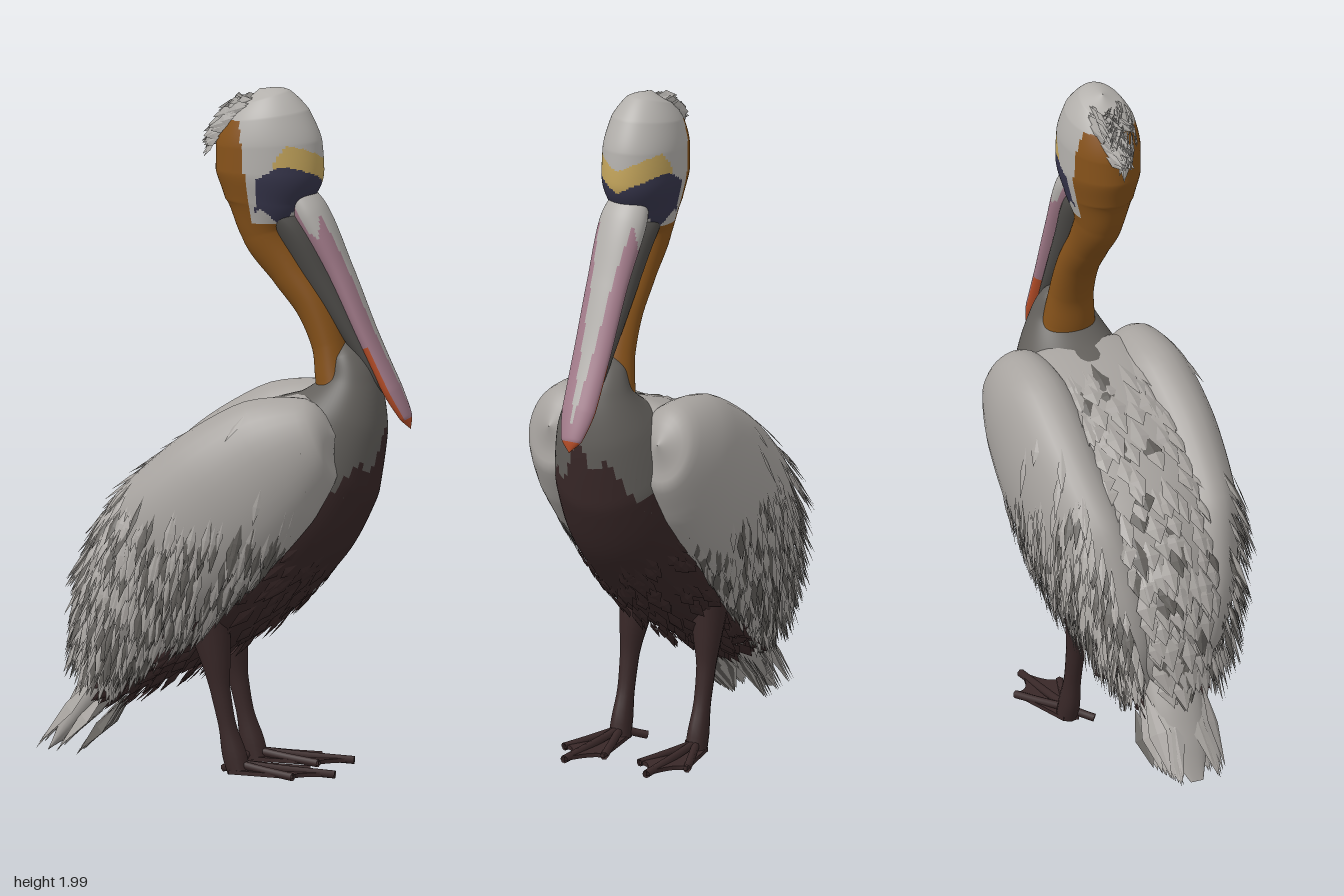
import * as THREE from 'three';

const mat = (name, color) => {
  const m = new THREE.MeshStandardMaterial({ color, side: THREE.DoubleSide });
  m.name = name;
  return m;
};
const pale = mat('paleGrey', 0xb3b0ac), wingGrey = mat('wingGrey', 0xa7a39f);
const darkGrey = mat('darkGrey', 0x63605c), belly = mat('darkBrown', 0x392828);
const brown = mat('neckBrown', 0x86521a), yellow = mat('yellow', 0xc4a55c);
const navy = mat('navy', 0x37364c), pink = mat('billPink', 0xa27b8a);
const orange = mat('billOrange', 0xbc5029), pouchGrey = mat('pouchGrey', 0x4c4a47);

let seed = 7;
const rnd = (lo = 0, hi = 1) => {
  seed = (seed * 16807) % 2147483647;
  return lo + (hi - lo) * seed / 2147483647;
};
const V = (x, y, z) => new THREE.Vector3(x, y, z);

// Smooth tube of ellipses; each section is [x, y, z, half height, half width]
function loft(name, sections, mats, pick = () => 0, rows = 40, sides = 32) {
  const path = new THREE.CatmullRomCurve3(sections.map(s => V(s[0], s[1], s[2])));
  const size = new THREE.CatmullRomCurve3(sections.map(s => V(s[3], s[4], 0)));
  const at = (t, angle) => {
    const r = size.getPoint(t), d = path.getTangent(t).setZ(0).normalize();
    const a = Math.max(r.x, 0.0008), b = Math.max(r.y, 0.0008);
    const n = V(-d.y, d.x, 0), c = Math.cos(angle), s = Math.sin(angle);
    return {
      p: path.getPoint(t).addScaledVector(n, a * c).add(V(0, 0, b * s)),
      n: n.multiplyScalar(c / a).add(V(0, 0, s / b)).normalize(),
    };
  };
  const pos = [], buckets = mats.map(() => []);
  for (let i = 0; i <= rows; i++)
    for (let j = 0; j < sides; j++) pos.push(...at(i / rows, j / sides * Math.PI * 2).p.toArray());
  for (let i = 0; i < rows; i++)
    for (let j = 0; j < sides; j++) {
      const t = (i + 0.5) / rows, angle = (j + 0.5) / sides * Math.PI * 2;
      const k = (j + 1) % sides, a = i * sides + j, b = i * sides + k;
      buckets[pick(at(t, angle).p, t, angle)].push(a, b, a + sides, b, b + sides, a + sides);
    }
  const g = new THREE.BufferGeometry();
  g.setAttribute('position', new THREE.Float32BufferAttribute(pos, 3));
  g.setIndex(buckets.flat());
  let start = 0;
  buckets.forEach((f, i) => { g.addGroup(start, f.length, i); start += f.length; });
  g.computeVertexNormals();
  const mesh = new THREE.Mesh(g, mats);
  mesh.name = name;
  return { mesh, at };
}

// Collects ridged, pointed feathers into one mesh
class Feathers {
  constructor(name, material) { this.name = name; this.material = material; this.pos = []; }
  add(p, dir, n, len, w, lift = 0.12) {
    const d = dir.clone().addScaledVector(n, -dir.dot(n)).normalize().addScaledVector(n, lift).normalize();
    const side = d.clone().cross(n).normalize().multiplyScalar(w);
    const mid = p.clone().addScaledVector(d, len * 0.5);
    const R = mid.clone().add(side), L = mid.clone().sub(side), T = p.clone().addScaledVector(d, len);
    const M = mid.clone().addScaledVector(n, w * 0.25);
    for (const v of [p, R, M, p, M, L, M, R, T, M, T, L]) this.pos.push(v.x, v.y, v.z);
  }
  mesh() {
    const g = new THREE.BufferGeometry();
    g.setAttribute('position', new THREE.Float32BufferAttribute(this.pos, 3));
    g.computeVertexNormals();
    const m = new THREE.Mesh(g, this.material);
    m.name = this.name;
    return m;
  }
}

export function createModel() {
  const bird = new THREE.Group();
  bird.name = 'waterBird';

  // Body: dark belly, grey chest and nape base
  const body = loft('body', [
    [-0.42, 0.2, 0, 0, 0], [-0.28, 0.3, 0, 0.09, 0.12], [-0.12, 0.46, 0, 0.18, 0.18],
    [0.03, 0.62, 0, 0.235, 0.205], [0.165, 0.775, 0, 0.245, 0.21], [0.28, 0.93, 0, 0.215, 0.19],
    [0.355, 1.05, 0, 0.14, 0.145], [0.378, 1.15, 0, 0.082, 0.095], [0.36, 1.22, 0, 0.05, 0.065],
    [0.34, 1.27, 0, 0, 0],
  ], [belly, darkGrey], p => {
    if (p.y > 0.75 + 1.2 * (p.x - 0.03)) return 1;
    return p.y > 1.0 - Math.abs(p.z) * 0.9 + 0.03 * Math.sin(p.z * 60) && p.x > 0.2 ? 1 : 0;
  }, 80, 64);
  bird.add(body.mesh);

  // Mantle closing the back between the wings
  const mantle = loft('mantle', [
    [0.345, 1.08, 0, 0, 0], [0.285, 1.055, 0, 0.06, 0.19], [0.15, 0.985, 0, 0.095, 0.25],
    [0, 0.89, 0, 0.112, 0.26], [-0.19, 0.735, 0, 0.115, 0.225], [-0.3, 0.55, 0, 0.1, 0.17],
    [-0.345, 0.37, 0, 0.07, 0.11], [-0.38, 0.22, 0, 0, 0],
  ], [wingGrey]);
  bird.add(mantle.mesh);

  // Neck and head with coloured face bands
  const head = loft('neckAndHead', [
    [0.36, 1.05, 0, 0.08, 0.11], [0.335, 1.15, 0, 0.06, 0.08], [0.315, 1.25, 0, 0.052, 0.068],
    [0.27, 1.36, 0, 0.055, 0.064], [0.2, 1.46, 0, 0.06, 0.063], [0.135, 1.57, 0, 0.078, 0.07],
    [0.135, 1.66, 0, 0.125, 0.095], [0.14, 1.75, 0, 0.158, 0.113], [0.137, 1.83, 0, 0.155, 0.112],
    [0.13, 1.91, 0, 0.125, 0.095], [0.12, 1.96, 0, 0.08, 0.06], [0.11, 1.985, 0, 0, 0],
  ], [pale, brown, yellow, navy], p => {
    const navyTop = 1.72 + 0.05 * Math.min(1, Math.abs(p.z) / 0.1) - 0.03 * Math.max(0, 0.18 - p.x) / 0.05;
    if (p.y < 1.6 || (p.y < 1.9 && p.x < 0.1 - (p.y - 1.62) * 0.12)) return 1;
    if (p.x > 0.115 && p.y > 1.625 + 0.02 * Math.sin(p.x * 60) && p.y < navyTop) return 3;
    const arch = 0.065 - 0.05 * Math.max(0, 0.21 - p.x) / 0.04;
    return p.x > 0.17 && p.y >= navyTop && p.y < navyTop + arch ? 2 : 0;
  }, 220, 96);
  bird.add(head.mesh);

  // Bill with grey ridge and base, pink sides and orange tip; pouch beneath
  bird.add(loft('bill', [
    [0.2, 1.72, 0, 0.03, 0.05], [0.265, 1.62, 0, 0.05, 0.074], [0.345, 1.465, 0, 0.037, 0.066],
    [0.43, 1.27, 0, 0.03, 0.06], [0.5, 1.12, 0, 0.028, 0.054], [0.54, 1.04, 0, 0.018, 0.034],
    [0.554, 1.005, 0, 0, 0],
  ], [pink, pale, orange], (p, t, a) => {
    if (t > 0.85 || (Math.cos(a) < 0 && t > 0.52)) return 2;
    if (t < 0.24 - 0.1 * Math.abs(Math.cos(a)) && Math.cos(a) > -0.4) return 1;
    return Math.cos(a) > 0 && Math.abs(Math.sin(a)) < 0.95 * (1 - t / 0.78) ? 1 : 0;
  }, 90, 64).mesh);
  bird.add(loft('throatPouch', [
    [0.13, 1.66, 0, 0.035, 0.07], [0.22, 1.57, 0, 0.058, 0.071], [0.3, 1.43, 0, 0.048, 0.06],
    [0.38, 1.29, 0, 0.034, 0.05], [0.46, 1.15, 0, 0.02, 0.038], [0.5, 1.08, 0, 0, 0],
  ], [pouchGrey]).mesh);

  // Tail core under the fan
  bird.add(loft('tail', [
    [-0.28, 0.36, 0, 0.05, 0.08], [-0.36, 0.235, 0, 0.055, 0.085], [-0.44, 0.125, 0, 0.035, 0.065],
    [-0.51, 0.04, 0, 0, 0.02],
  ], [wingGrey], () => 0, 16, 20).mesh);

  const light = new Feathers('lightFeathers', wingGrey), dark = new Feathers('darkFeathers', darkGrey);
  const brownF = new Feathers('bellyFeathers', belly), crest = new Feathers('crest', pale);

  for (const s of [-1, 1]) {
    // Folded wing, smooth at the shoulder and feathered toward the rear
    const wing = loft('wing', [
      [0.37, 1.01, 0.185, 0, 0], [0.33, 1.0, 0.185, 0.12, 0.09], [0.2, 0.93, 0.19, 0.2, 0.125],
      [0.04, 0.8, 0.193, 0.23, 0.127], [-0.11, 0.66, 0.178, 0.23, 0.122],
      [-0.225, 0.52, 0.145, 0.17, 0.1], [-0.295, 0.39, 0.11, 0.1, 0.07], [-0.34, 0.27, 0.08, 0, 0],
    ].map(([x, y, z, a, b]) => [x, y, z * s, a, b]), [wingGrey]);
    bird.add(wing.mesh);
    for (let i = 0; i < 760; i++) {
      const { p, n } = wing.at(rnd(0.18, 0.93), rnd(0.1, 2.9) * s);
      if (p.y > 0.8 - p.x * 0.3 && p.x > -0.2 && rnd() < 0.97) continue;
      (rnd() < 0.38 ? dark : light).add(p, V(-0.22, -1, 0), n, rnd(0.08, 0.15), rnd(0.008, 0.014), rnd(0.02, 0.06));
    }
    // Long flight feathers at the lower wing edge
    for (let i = 0; i < 34; i++) {
      const { p, n } = wing.at(0.48 + i * 0.0125, rnd(0.2, 1.2) * s);
      (i % 3 ? light : dark).add(p, V(-0.25, -1, 0), n, rnd(0.1, 0.15), 0.013, 0.02);
    }
    // Streaks where the chest meets the wing
    for (let i = 0; i < 30; i++) {
      const { p, n } = body.at(rnd(0.52, 0.74), rnd(1.7, 2.4) * s);
      dark.add(p, V(-0.4, -1, 0), n, rnd(0.08, 0.14), 0.012, 0.04);
    }

    // Leg and webbed foot
    const leg = new THREE.Group();
    leg.name = 'leg';
    bird.add(leg);
    leg.add(loft('shank', [
      [-0.02, 0.46, 0.115 * s, 0.07, 0.06], [0.005, 0.34, 0.125 * s, 0.045, 0.042],
      [0.02, 0.25, 0.13 * s, 0.03, 0.028], [0.04, 0.15, 0.13 * s, 0.026, 0.025],
      [0.062, 0.06, 0.13 * s, 0.036, 0.03], [0.075, 0.012, 0.13 * s, 0.034, 0.032],
    ], [belly], () => 0, 20, 14).mesh);
    const web = new THREE.Shape();
    web.moveTo(0.04, 0.11 * s);
    web.lineTo(0.27, 0.06 * s);
    web.quadraticCurveTo(0.26, 0.1 * s, 0.36, 0.14 * s);
    web.quadraticCurveTo(0.24, 0.16 * s, 0.25, 0.21 * s);
    web.lineTo(0.05, 0.155 * s);
    const webGeo = new THREE.ExtrudeGeometry(web, { depth: 0.012, bevelEnabled: false });
    const webMesh = new THREE.Mesh(webGeo.rotateX(Math.PI / 2).translate(0, 0.018, 0), belly);
    webMesh.name = 'web';
    leg.add(webMesh);
    for (const [x, z] of [[0.27, 0.06], [0.36, 0.14], [0.25, 0.21], [0.02, 0.07]]) {
      const curve = new THREE.CatmullRomCurve3([V(0.07, 0.035, 0.13 * s),
        V(0.07 + (x - 0.07) * 0.5, 0.022, (0.13 + (z - 0.13) * 0.5) * s), V(x, 0.012, z * s)]);
      const toe = new THREE.Mesh(new THREE.TubeGeometry(curve, 8, 0.012, 7), belly);
      toe.name = 'toe';
      leg.add(toe);
    }

    // Tail fan: two roof-like halves meeting on the centre line
    for (let layer = 0; layer < 3; layer++)
      for (let i = 0; i < 6; i++) {
        const k = i / 5;
        (layer === 2 && i % 2 ? dark : light).add(
          V(-0.345 + layer * 0.03, 0.3 - layer * 0.045 - k * 0.02, (0.02 + k * 0.07) * s),
          V(-0.6, -0.8, (0.1 - k * 0.16) * s), V(-0.75, 0.6, (0.15 + k * 0.6) * s).normalize(),
          0.315 - layer * 0.045 - Math.abs(k - 0.3) * 0.06, 0.028, 0.01);
      }
  }

  // Broad feathers over the mantle
  for (let i = 0; i < 210; i++) {
    const { p, n } = mantle.at(rnd(0.22, 0.9), Math.PI + rnd(-0.75, 0.75));
    (rnd() < 0.14 ? dark : light).add(p, V(-0.6, -0.8, 0), n, rnd(0.08, 0.14), rnd(0.02, 0.034), rnd(0.05, 0.2));
  }
  // Dark feathers under the rear body
  for (let i = 0; i < 220; i++) {
    const { p, n } = body.at(rnd(0.08, 0.45), Math.PI + rnd(-1.5, 1.5));
    brownF.add(p, V(-0.8, -0.5, 0), n, rnd(0.06, 0.11), rnd(0.012, 0.022), rnd(0.01, 0.06));
  }
  // Shaggy crest over the back of the head
  for (let i = 0; i < 120; i++) {
    const t = rnd(0.75, 0.95), spread = 0.45 + (t - 0.75) * 5;
    const { p, n } = head.at(t, rnd(-spread, spread));
    crest.add(p, V(-0.9, -0.3, 0), n, rnd(0.05, 0.09), rnd(0.012, 0.02), 0.1 + 0.65 * Math.max(0, -n.x) * rnd(0.5, 1));
  }
  for (const f of [light, dark, brownF, crest]) bird.add(f.mesh());
  return bird;
}
